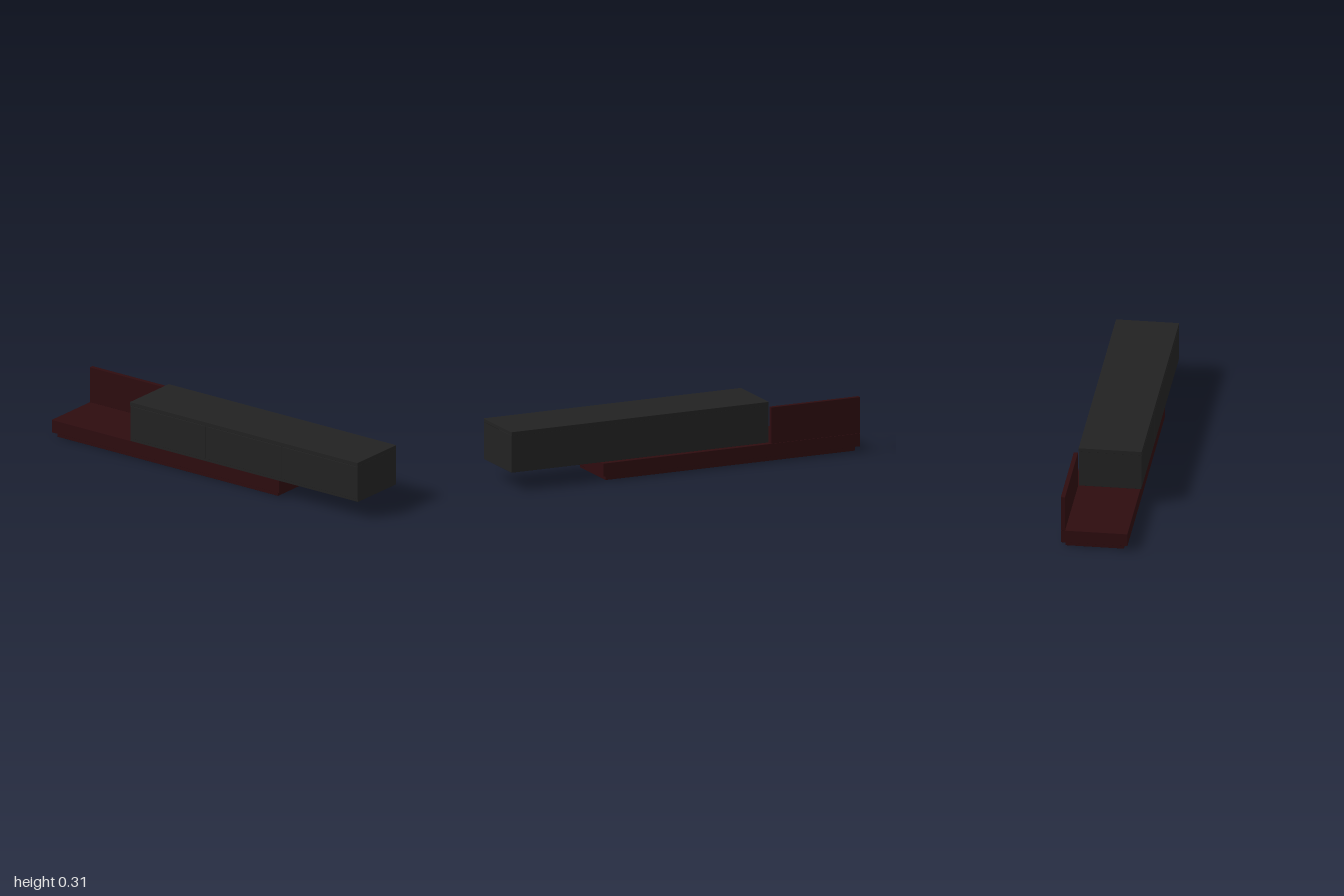
import * as THREE from 'three';
import { RoundedBoxGeometry } from 'three/addons/geometries/RoundedBoxGeometry.js';

export function createModel() {
  const group = new THREE.Group();
  const black = new THREE.MeshStandardMaterial({ color: 0x222222 });
  black.name = 'charcoal lacquer';
  const red = new THREE.MeshStandardMaterial({ color: 0x2d0c0f });
  red.name = 'dark mahogany';

  // Softly bevelled board given by its limits along each axis
  function board(name, material, [x0, x1], [y0, y1], [z0, z1]) {
    const geometry = new RoundedBoxGeometry(x1 - x0, y1 - y0, z1 - z0, 1, 0.0015);
    const mesh = new THREE.Mesh(geometry, material);
    mesh.position.set((x0 + x1) / 2, (y0 + y1) / 2, (z0 + z1) / 2);
    mesh.name = name;
    group.add(mesh);
  }

  // Low base: recessed plinth, thick shelf and upright back panel
  board('plinth', red, [-0.98, 0.46], [0, 0.028], [-0.157, 0.15]);
  board('shelf', red, [-1, 0.483], [0.026, 0.096], [-0.178, 0.171]);
  board('backPanel', red, [-1, -0.486], [0.096, 0.29], [-0.178, -0.155]);

  // Sliding cabinet: carcass with a separate top board
  board('cabinetBody', black, [-0.483, 1], [0.097, 0.295], [-0.152, 0.175]);
  board('cabinetTop', black, [-0.484, 1], [0.294, 0.315], [-0.153, 0.178]);

  // Three equal door fronts with narrow gaps
  const doorWidth = 1.483 / 3;
  for (let i = 0; i < 3; i++) {
    const x = -0.483 + i * doorWidth;
    const left = i === 0 ? 0 : 0.003;
    const right = i === 2 ? 0 : 0.003;
    board('door' + (i + 1), black, [x + left, x + doorWidth - right], [0.112, 0.292], [0.17, 0.178]);
  }
  return group;
}
